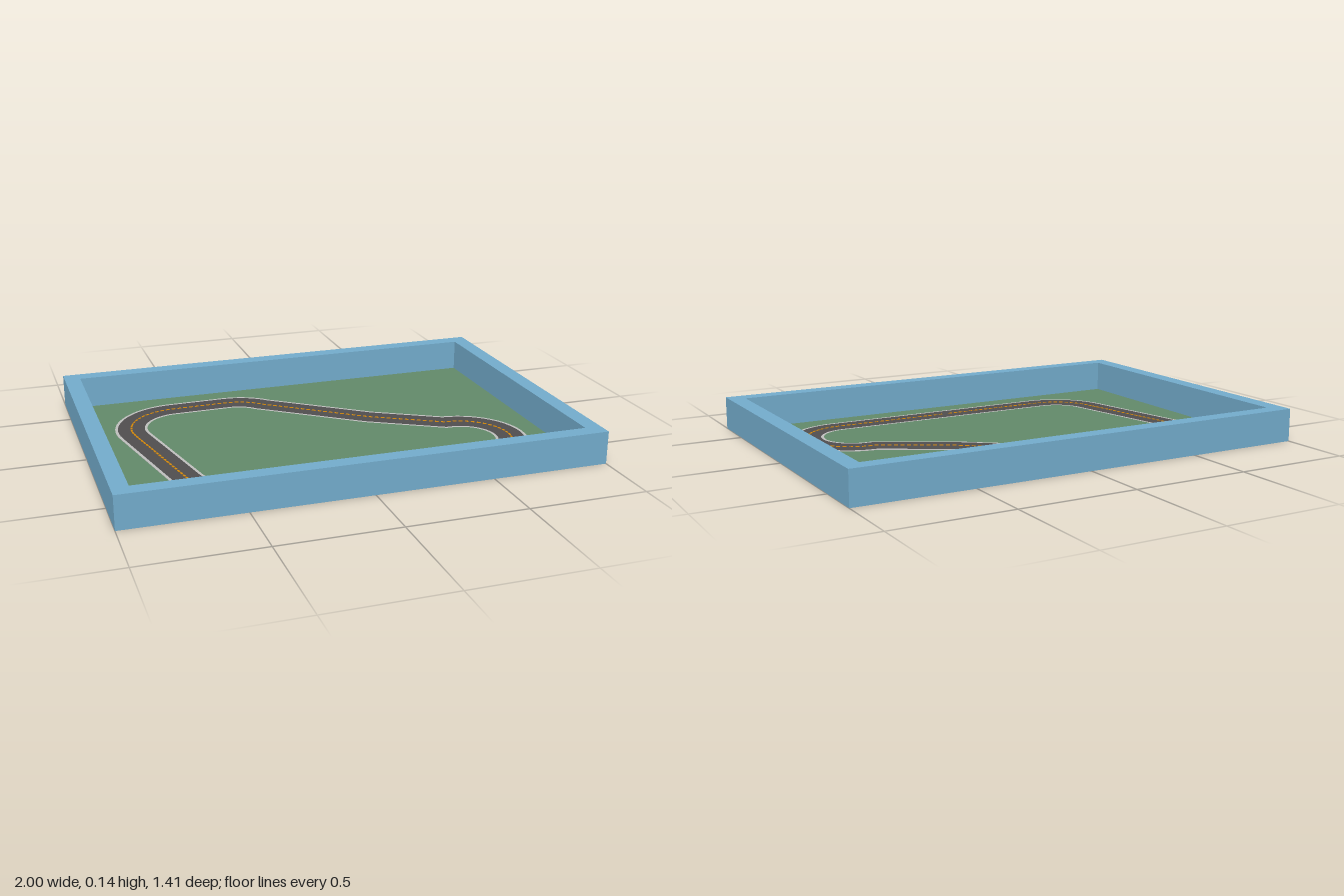
import * as THREE from 'three';
import { mergeGeometries } from 'three/addons/utils/BufferGeometryUtils.js';

const paint = (name, hex) => {
  const m = new THREE.MeshStandardMaterial({ color: hex });
  m.name = name;
  return m;
};

// centre line of the circuit in (x, z), as bends joined by straights
function circuit() {
  const pts = [new THREE.Vector2(0.03, 0.475)];
  const bend = (cx, cz, r, from, to, n) => {
    for (let i = 0; i <= n; i++) {
      const a = THREE.MathUtils.degToRad(from + ((to - from) * i) / n);
      pts.push(new THREE.Vector2(cx + r * Math.cos(a), cz + r * Math.sin(a)));
    }
  };
  bend(0.57, 0.272, 0.203, 90, -91, 28);
  pts.push(new THREE.Vector2(0.27, -0.1));
  bend(-0.29, -0.28, 0.2, -41, -90, 10);
  bend(-0.54, -0.245, 0.23, -90, -193, 18);
  bend(-0.46, 0.275, 0.2, 167, 90, 14);
  return pts;
}

// shift a closed loop outwards (inwards when d is negative), with mitred corners
function offsetLoop(pts, d) {
  return pts.map((p, i) => {
    const a = pts[(i + pts.length - 1) % pts.length];
    const b = pts[(i + 1) % pts.length];
    const u = p.clone().sub(a).normalize();
    const v = b.clone().sub(p).normalize();
    const n = new THREE.Vector2(-u.y - v.y, u.x + v.x).normalize();
    const c = n.y * u.x - n.x * u.y;
    return p.clone().addScaledVector(n, d / c);
  });
}

// flat slab between two outlines, from height y0 to y1
function ringSlab(outer, inner, y0, y1) {
  const shape = new THREE.Shape(outer);
  shape.holes.push(new THREE.Path(inner));
  return new THREE.ExtrudeGeometry(shape, { depth: y1 - y0, bevelEnabled: false })
    .rotateX(Math.PI / 2)
    .translate(0, y1, 0);
}

const rect = (x, z) => [[-x, -z], [x, -z], [x, z], [-x, z]].map(([a, b]) => new THREE.Vector2(a, b));

export function createModel() {
  const group = new THREE.Group();
  const add = (name, geometry, material) => {
    const mesh = new THREE.Mesh(geometry, material);
    mesh.name = name;
    group.add(mesh);
  };

  // tray
  add('trayFrame', ringSlab(rect(1, 0.705), rect(0.931, 0.638), 0, 0.14), paint('blue frame', 0x72aaca));
  add('grassFloor', new THREE.BoxGeometry(1.862, 0.003, 1.276).translate(0, 0.0015, 0), paint('grass green', 0x618869));

  // road, and a pale line along each edge
  const path = circuit();
  const line = paint('edge line grey', 0xbebebc);
  const half = 0.058, edge = 0.07;
  const roadOut = offsetLoop(path, half), roadIn = offsetLoop(path, -half);
  add('road', ringSlab(roadOut, roadIn, 0.002, 0.005), paint('asphalt', 0x4f4d4e));
  add('outerEdgeLine', ringSlab(offsetLoop(path, edge), roadOut, 0.002, 0.005), line);
  add('innerEdgeLine', ringSlab(roadIn, offsetLoop(path, -edge), 0.002, 0.005), line);

  // dashed centre line, spaced by distance along the path
  const loop = [...path, path[0]];
  const at = [0];
  for (let i = 1; i < loop.length; i++) at.push(at[i - 1] + loop[i].distanceTo(loop[i - 1]));
  const total = at.at(-1);
  const period = 0.027;
  const dashes = [];
  for (let s = period, k = 0; s < total - period / 2; s += period) {
    while (at[k + 1] < s) k++;
    const a = loop[k], b = loop[k + 1];
    const p = a.clone().lerp(b, (s - at[k]) / (at[k + 1] - at[k]));
    dashes.push(new THREE.BoxGeometry(0.017, 0.003, 0.008)
      .rotateY(-Math.atan2(b.y - a.y, b.x - a.x))
      .translate(p.x, 0.0055, p.y));
  }
  add('centreDashes', mergeGeometries(dashes), paint('orange dash', 0xd4880a));

  return group;
}
